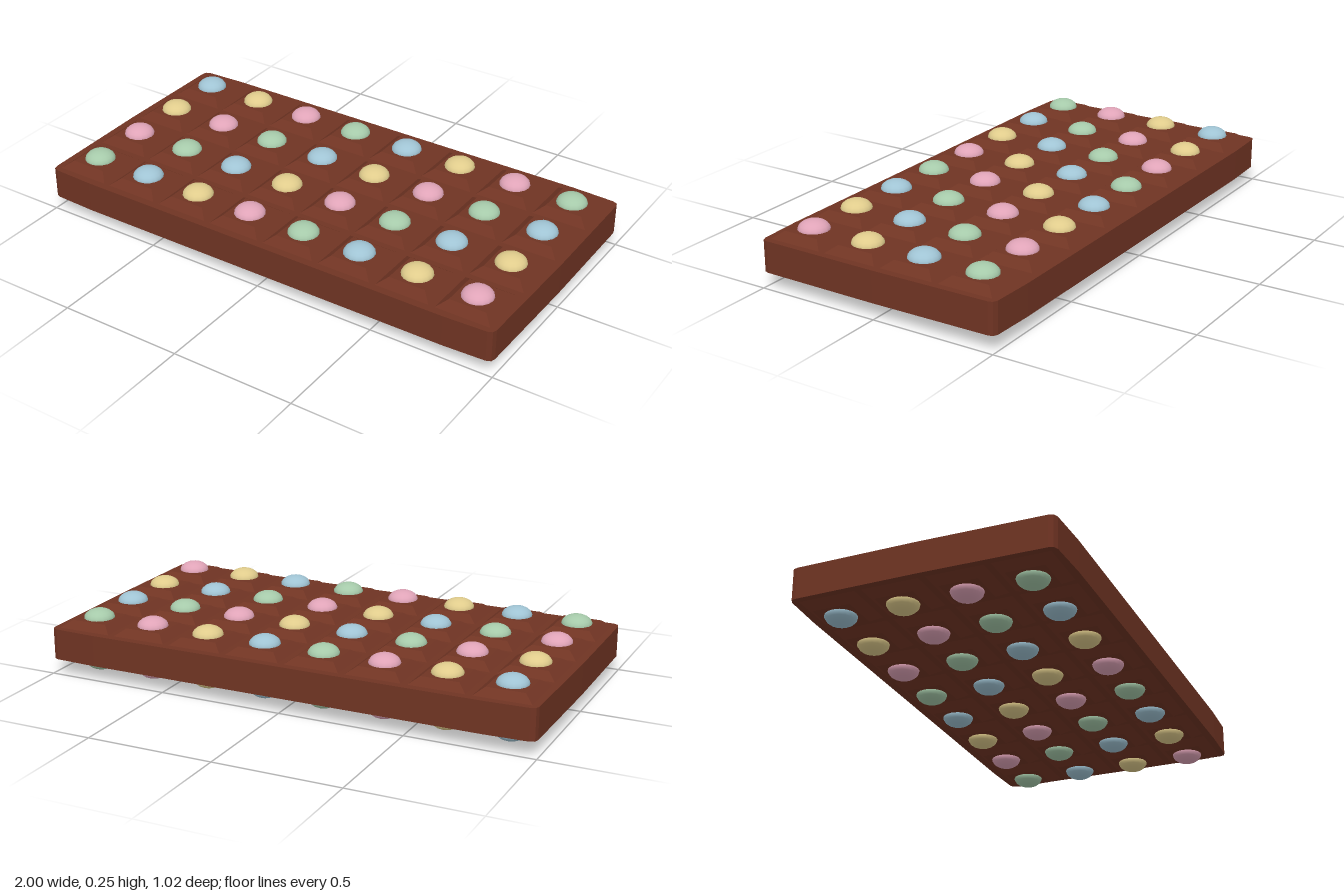
import * as THREE from 'three';

const MID = 0.125;       // mid height of the bar
const BODY = 0.124;      // slab thickness
const TILE_H = 0.027;    // height of each raised tile
const PITCH = 0.2455;    // spacing between tiles
const COLS = 8, ROWS = 4;

function mat(name, color) {
  const m = new THREE.MeshStandardMaterial({ color });
  m.name = name;
  return m;
}

// Slab with clipped corners and faintly bowed sides
function slabGeometry() {
  const q = [[1, 0], [0.995, 0.477], [0.99, 0.495], [0.972, 0.503], [0.8, 0.51]];
  const mirrored = q.slice(1).reverse().map(([x, z]) => [-x, z]);
  const half = [...q, ...mirrored];
  const outline = [...half, ...half.map(([x, z]) => [-x, -z])];
  const shape = new THREE.Shape(outline.map(([x, z]) => new THREE.Vector2(x, z)));
  const g = new THREE.ExtrudeGeometry(shape, { depth: BODY, bevelEnabled: false });
  g.rotateX(-Math.PI / 2);
  g.translate(0, -BODY / 2, 0);
  return g;
}

// Square tile with sloping sides, standing on y = 0
function tileGeometry() {
  const r = Math.SQRT2;
  const g = new THREE.CylinderGeometry(0.074 * r, 0.11 * r, TILE_H, 4, 1, false, Math.PI / 4).toNonIndexed();
  g.computeVertexNormals();
  g.translate(0, TILE_H / 2, 0);
  return g;
}

export function createModel() {
  const group = new THREE.Group();
  group.name = 'chocolateBar';

  const chocolate = mat('chocolate', 0x703423);
  const candies = [
    mat('blueCandy', 0xa0c4d4),
    mat('yellowCandy', 0xe0cc8c),
    mat('pinkCandy', 0xe0a4b8),
    mat('greenCandy', 0xa6caaa),
  ];

  const slab = new THREE.Mesh(slabGeometry(), chocolate);
  slab.name = 'slab';
  slab.position.y = MID;
  group.add(slab);

  const tileGeo = tileGeometry();
  const candyGeo = new THREE.SphereGeometry(0.061, 16, 12);
  candyGeo.scale(1, 0.62, 1);

  // Tiles and candies on the top and underside
  for (const side of [1, -1]) {
    const face = new THREE.Group();
    face.name = side > 0 ? 'topFace' : 'undersideFace';
    face.position.y = MID;
    if (side < 0) face.rotation.x = Math.PI;
    for (let row = 0; row < ROWS; row++) {
      for (let col = 0; col < COLS; col++) {
        const x = (col - (COLS - 1) / 2) * PITCH;
        const z = (row - (ROWS - 1) / 2) * PITCH * side;
        const tile = new THREE.Mesh(tileGeo, chocolate);
        tile.name = 'tile';
        tile.position.set(x, BODY / 2, z);
        const candy = new THREE.Mesh(candyGeo, candies[(row + col) % 4]);
        candy.name = 'candy';
        candy.position.set(x, BODY / 2 + TILE_H - 0.0018, z);
        face.add(tile, candy);
      }
    }
    group.add(face);
  }
  return group;
}
